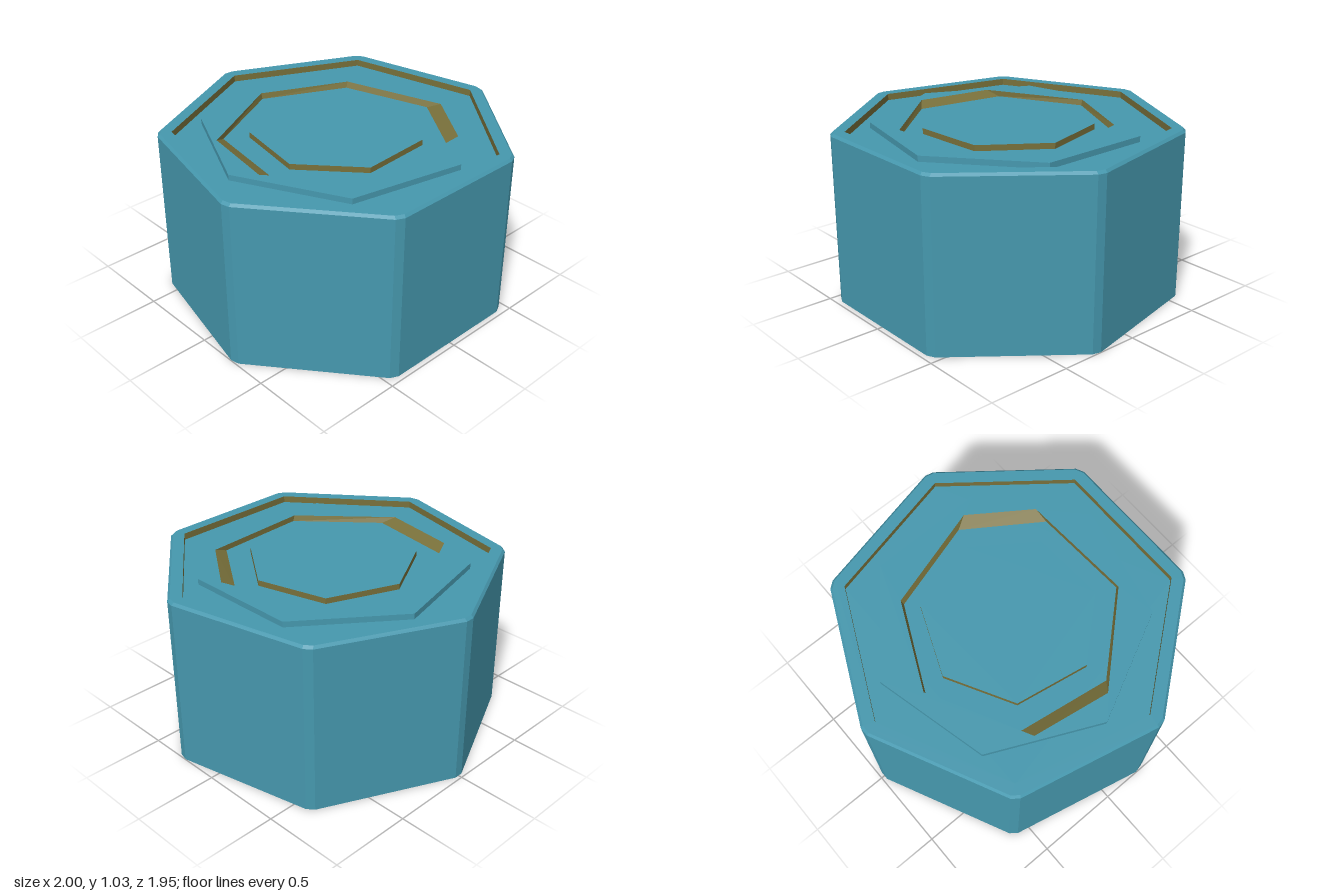
import * as THREE from 'three';

const CZ = 0.04;        // heptagon centre along z
const FLOOR = 0.99;     // recess floor height
const PLATE = 1.024;    // top of the raised plates
const RIM = 1.03;

// Regular heptagon pointing to the back, with optional cut corners
function heptagon(r, cut = 0) {
  const corners = [];
  for (let i = 0; i < 7; i++) {
    const a = (i * Math.PI * 2) / 7;
    corners.push(new THREE.Vector2(Math.sin(a) * r, CZ - Math.cos(a) * r));
  }
  if (!cut) return corners;
  const t = cut / corners[0].distanceTo(corners[1]);
  return corners.flatMap((p, i) => [
    p.clone().lerp(corners[(i + 6) % 7], t),
    p.clone().lerp(corners[(i + 1) % 7], t),
  ]);
}

const loop = (pairs) => pairs.map(([x, z]) => new THREE.Vector2(x, z));

// Wall between two loops; faces outward when y0 < y1, inward when y0 > y1
function wall(a, y0, b, y1) {
  const pos = [];
  a.forEach((p, i) => {
    const j = (i + 1) % a.length;
    const q = a[j], P = b[i], Q = b[j];
    pos.push(p.x, y0, p.y, P.x, y1, P.y, q.x, y0, q.y);
    pos.push(P.x, y1, P.y, Q.x, y1, Q.y, q.x, y0, q.y);
  });
  const g = new THREE.BufferGeometry();
  g.setAttribute('position', new THREE.Float32BufferAttribute(pos, 3));
  g.computeVertexNormals();
  return g;
}

// Flat face at height y, with an optional hole
function face(outer, y, hole) {
  const flip = (l) => l.map((p) => new THREE.Vector2(p.x, -p.y));
  const s = new THREE.Shape(flip(outer));
  if (hole) s.holes.push(new THREE.Path(flip(hole)));
  return new THREE.ShapeGeometry(s).rotateX(-Math.PI / 2).translate(0, y, 0);
}

export function createModel() {
  const teal = new THREE.MeshStandardMaterial({ color: 0x4698ae, flatShading: true });
  teal.name = 'teal';
  const olive = new THREE.MeshStandardMaterial({ color: 0x78703a, flatShading: true });
  olive.name = 'olive';

  const model = new THREE.Group();
  model.name = 'heptagonalBlock';
  const add = (name, geometry, material) => {
    const m = new THREE.Mesh(geometry, material);
    m.name = name;
    model.add(m);
  };

  // Block with cut corners and a small top bevel
  const outer = heptagon(1.03, 0.029);
  const bevel = heptagon(1.015, 0.029);
  const inner = heptagon(0.94);
  add('blockSides', wall(outer, 0, outer, 1.015), teal);
  add('topBevel', wall(outer, 1.015, bevel, RIM), teal);
  add('rim', face(bevel, RIM, inner), teal);
  add('base', new THREE.ShapeGeometry(new THREE.Shape(outer)).rotateX(Math.PI / 2), teal);

  // Sunken top
  add('recessWall', wall(inner, RIM, inner, FLOOR), olive);
  add('recessFloor', face(inner, FLOOR), teal);

  // Twisted raised ring, its opening sloped on two sides
  const ring = loop([[0.165, -0.74], [0.708, -0.315], [0.715, 0.37], [0.18, 0.812],
    [-0.49, 0.667], [-0.797, 0.047], [-0.505, -0.577]]);
  const holeTop = loop([[-0.035, -0.597], [0.465, -0.36], [0.65, 0.248], [0.412, 0.59],
    [-0.255, 0.625], [-0.68, 0.16], [-0.605, -0.30]]);
  const holeFoot = loop([[-0.035, -0.587], [0.449, -0.353], [0.61, 0.175], [0.325, 0.595],
    [-0.243, 0.624], [-0.615, 0.21], [-0.53, -0.338]]);
  add('ringSides', wall(ring, FLOOR, ring, PLATE), teal);
  add('ringTop', face(ring, PLATE, holeTop), teal);
  add('ringOpening', wall(holeTop, PLATE, holeFoot, FLOOR), olive);

  // Centre plate
  const plate = loop([[-0.03, -0.46], [0.375, -0.293], [0.49, 0.122], [0.237, 0.48],
    [-0.197, 0.505], [-0.487, 0.18], [-0.41, -0.252]]);
  add('centrePlateSides', wall(plate, FLOOR, plate, PLATE), olive);
  add('centrePlateTop', face(plate, PLATE), teal);

  return model;
}
